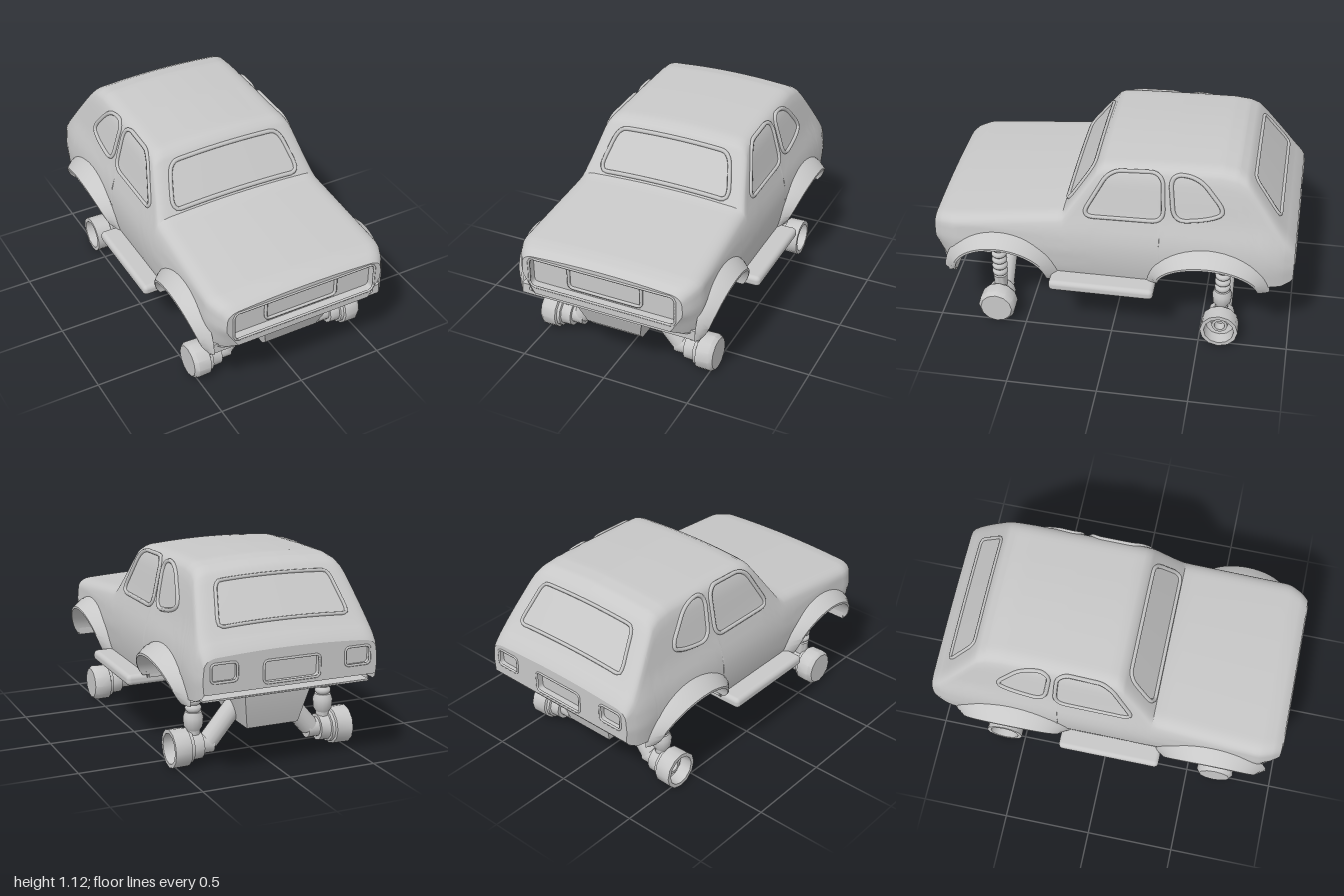
import * as THREE from 'three';
import { toCreasedNormals } from 'three/addons/utils/BufferGeometryUtils.js';
import { RoundedBoxGeometry } from 'three/addons/geometries/RoundedBoxGeometry.js';

const grey = new THREE.MeshStandardMaterial({ color: 0xc8c8c8, side: THREE.DoubleSide });
grey.name = 'plain grey';

const lerpTable = (table, v) => {
  if (v <= table[0][0]) return table[0][1];
  for (let i = 1; i < table.length; i++) {
    const [a, fa] = table[i - 1], [b, fb] = table[i];
    if (v <= b) return fa + (fb - fa) * (v - a) / (b - a);
  }
  return table[table.length - 1][1];
};

// Body rules: roof line, half width by height, lower edge with wheel arches
const ROOF = [[-1, .715], [-.985, .74], [-.94, .79], [-.75, 1.05], [-.72, 1.085], [-.67, 1.112], [-.58, 1.125],
  [-.3, 1.118], [0, 1.103], [.05, 1.098], [.085, 1.08], [.27, .812], [.3, .803], [.9, .735], [.97, .715], [1, .69]];
const WIDTH = [[.36, .50], [.45, .525], [.58, .537], [.68, .527], [.76, .503], [.8, .487], [1, .44], [1.08, .415], [1.13, .39]];
const BOTTOM = [[-1, .51], [-.985, .49], [-.94, .465], [-.81, .45], [-.27, .40], [.36, .40], [.88, .40], [.95, .41], [1, .44]];
const ARCHES = [
  { name: 'front', z: .62, y: .375, rx: .26, ry: .215, lip: .615 },
  { name: 'rear', z: -.54, y: .42, rx: .275, ry: .18, lip: .622 },
];
const top = z => lerpTable(ROOF, z);
function bottom(z) {
  let y = lerpTable(BOTTOM, z);
  for (const a of ARCHES) {
    const d = (z - a.z) / a.rx;
    if (Math.abs(d) < 1) y = Math.max(y, a.y + a.ry * Math.sqrt(1 - d * d));
  }
  return y;
}
function halfWidth(y, z) {
  const f = Math.max(0, (z - .85) / .15), r = Math.max(0, (-z - .85) / .15);
  const chin = .15 * f * f * Math.max(0, (.55 - y) / .13);
  return lerpTable(WIDTH, y) * (1 - .12 * f * f - .07 * r * r) * (1 - chin);
}
// Rounded shoulder between the side and the top
function shoulder(z) {
  const h = top(z), ys = h - .06, cy = h - .014;
  return { h, ys, cy, x0: halfWidth(ys, z), x1: halfWidth(cy, z) - .005, x2: halfWidth(h, z) - .08 };
}
const bend = (s, t) => [(1 - t) ** 2 * s.x0 + 2 * t * (1 - t) * s.x1 + t * t * s.x2, s.ys + (s.cy - s.ys) * (2 * t - t * t)];
function sideX(y, z) {
  const s = shoulder(z);
  if (y <= s.ys) return halfWidth(y, z);
  return bend(s, 1 - Math.sqrt(Math.max(0, 1 - (y - s.ys) / (s.cy - s.ys))))[0];
}
const topY = (x, z) => {
  const s = shoulder(z);
  return s.h - .014 * Math.min(1, Math.abs(x) / s.x2) ** 2;
};
function section(z) {
  const s = shoulder(z), yb = bottom(z), half = [];
  for (let i = 0; i < 10; i++) {
    const y = yb + (s.ys - yb) * i / 10;
    half.push([halfWidth(y, z), y]);
  }
  for (let i = 0; i <= 6; i++) half.push(bend(s, i / 6));
  for (const f of [.75, .5, .25]) half.push([s.x2 * f, s.h - .014 * f * f]);
  return [...half, [0, s.h], ...half.slice().reverse().map(([x, y]) => [-x, y])];
}

// Skin over rows of points
function skin(rows, { closed = false, caps = false, crease = .6 } = {}) {
  const n = rows[0].length, idx = [], m = closed ? n : n - 1;
  for (let i = 0; i < rows.length - 1; i++) for (let j = 0; j < m; j++) {
    const a = i * n + j, b = i * n + (j + 1) % n;
    idx.push(a, a + n, b, b, a + n, b + n);
  }
  if (caps) for (let j = 1; j < n - 1; j++) {
    const e = (rows.length - 1) * n;
    idx.push(0, j, j + 1, e, e + j + 1, e + j);
  }
  const g = new THREE.BufferGeometry();
  g.setAttribute('position', new THREE.Float32BufferAttribute(rows.flat(2), 3));
  g.setIndex(idx);
  return toCreasedNormals(g, crease);
}
function add(parent, name, geometry, x = 0, y = 0, z = 0) {
  const mesh = new THREE.Mesh(geometry, grey);
  mesh.name = name;
  mesh.position.set(x, y, z);
  parent.add(mesh);
  return mesh;
}
// Closed outline with rounded corners
function rounded(pts, r, T = THREE.Path) {
  const v = pts.map(p => new THREE.Vector2(...p)), path = new T(), n = v.length;
  v.forEach((p, i) => {
    const toward = q => p.clone().add(q.clone().sub(p).setLength(Math.min(r, q.distanceTo(p) * .45)));
    const a = toward(v[(i + n - 1) % n]), b = toward(v[(i + 1) % n]);
    if (i) path.lineTo(a.x, a.y); else path.moveTo(a.x, a.y);
    path.quadraticCurveTo(p.x, p.y, b.x, b.y);
  });
  path.closePath();
  return path;
}
const rect = (x0, x1, y0, y1) => [[x0, y0], [x1, y0], [x1, y1], [x0, y1]];
function trim(parent, name, pts, r, place, radius = .01) {
  const p = rounded(pts, r).getSpacedPoints(64).slice(0, -1).map(q => new THREE.Vector3(...place(q.x, q.y)));
  add(parent, name, new THREE.TubeGeometry(new THREE.CatmullRomCurve3(p, true), 96, radius, 6, true));
}
// End panel with recessed pockets
function endPanel(parent, name, z, pockets) {
  const dir = Math.sign(z), shape = new THREE.Shape(section(z).map(p => new THREE.Vector2(...p)));
  for (const { box, depth } of pockets) {
    const hole = rounded(rect(...box), .025);
    shape.holes.push(hole);
    const ring = hole.getPoints(5);
    add(parent, name + 'PocketWall', skin([z, z - dir * depth].map(d => ring.map(p => [p.x, p.y, d]))));
    add(parent, name + 'PocketBack', new THREE.ShapeGeometry(rounded(rect(...box), .025, THREE.Shape)), 0, 0, z - dir * depth);
    trim(parent, name + 'PocketRim', rect(...box), .025, (x, y) => [x, y, z], .007);
  }
  add(parent, name, new THREE.ShapeGeometry(shape), 0, 0, z);
}

function buildBody(g) {
  const zs = new Set([...ROOF, ...BOTTOM].map(p => p[0]));
  for (let i = 0; i <= 40; i++) zs.add(+(-1 + i * .05).toFixed(3));
  for (const a of ARCHES) for (let i = 0; i <= 24; i++) zs.add(+(a.z + a.rx * Math.cos(i * Math.PI / 24)).toFixed(4));
  const rows = [...zs].sort((a, b) => b - a).map(z => section(z).map(([x, y]) => [x, y, z]));
  add(g, 'bodyShell', skin(rows));
  endPanel(g, 'nosePanel', 1, [{ box: [-.43, .43, .485, .662], depth: .05 }]);
  trim(g, 'plateFrame', rect(-.215, .215, .508, .638), .025, (x, y) => [x, y, .955], .009);
  endPanel(g, 'tailPanel', -1, [
    { box: [-.16, .16, .535, .655], depth: .04 },
    { box: [-.455, -.31, .57, .67], depth: .03 },
    { box: [.31, .455, .57, .67], depth: .03 },
  ]);
  // Window surrounds
  const onTop = (x, z) => [x, topY(x, z) + .003, z];
  trim(g, 'windscreenFrame', [[-.40, .258], [.40, .258], [.34, .11], [-.34, .11]], .05, onTop, .012);
  trim(g, 'rearWindowFrame', [[-.375, -.905], [.375, -.905], [.325, -.755], [-.325, -.755]], .03, onTop);
  // Underside plates
  add(g, 'floorPan', skin([[.92, .41], [-.26, .41], [-.96, .465]].map(([z, y]) => [[-.31, y, z], [.31, y, z]])));
  add(g, 'midFloor', new THREE.BoxGeometry(1.0, .02, .61), 0, .41, .045);
  add(g, 'tailFloor', new THREE.BoxGeometry(.96, .01, .15), 0, .462, -.88);
  add(g, 'frontValance', new THREE.BoxGeometry(1.06, .06, .045), 0, .393, .90);
  add(g, 'noseFloor', skin([[.9, .405, .5], [.95, .412, .47], [1, .44, .39]].map(([z, y, x]) => [[-x, y, z], [x, y, z]])));
}

function buildChassis(g) {
  // Rows of z, lower y, upper y, lower half width, upper half width
  const tub = rows => skin(rows.map(([z, y0, y1, w0, w1]) => [[-w0, y0, z], [w0, y0, z], [w1, y1, z], [-w1, y1, z]]),
    { closed: true, caps: true, crease: .3 });
  add(g, 'frontCradle', tub([[.91, .35, .41, .19, .2], [.87, .25, .41, .16, .205], [.82, .2, .41, .15, .21],
    [.6, .2, .41, .15, .21], [.4, .33, .41, .17, .2]]));
  add(g, 'rearCradle', tub([[-.34, .33, .43, .17, .2], [-.5, .22, .43, .15, .21], [-.78, .22, .45, .15, .21], [-.84, .42, .46, .19, .2]]));
  add(g, 'spine', new RoundedBoxGeometry(.19, .12, 1.08, 3, .03), 0, .29, .03);
}

const lathe = (pts, sides) => toCreasedNormals(new THREE.LatheGeometry(pts.map(p => new THREE.Vector2(...p)), sides), .7);

function rod(parent, name, a, b, r) {
  const p = new THREE.Vector3(...a), q = new THREE.Vector3(...b), d = q.clone().sub(p);
  const m = add(parent, name, new THREE.CylinderGeometry(r, r, d.length(), 14));
  m.position.copy(p).lerp(q, .5);
  m.quaternion.setFromUnitVectors(new THREE.Vector3(0, 1, 0), d.normalize());
}

function buildSide(g) {
  trim(g, 'frontSideWindowFrame', [[.165, .797], [.02, 1.062], [-.27, 1.075], [-.285, .805]], .07,
    (z, y) => [sideX(y, z) + .002, y, z], .012);
  trim(g, 'rearSideWindowFrame', [[-.31, 1.075], [-.47, 1.065], [-.62, .885], [-.53, .84], [-.34, .81]], .08,
    (z, y) => [sideX(y, z) + .002, y, z], .012);
  add(g, 'runningBoard', new RoundedBoxGeometry(.355, .062, .585, 3, .025), .4475, .388, .0425);

  for (const a of ARCHES) {
    const front = a.name === 'front', hubZ = front ? .665 : -.615;
    // Flared arch, its inner lining and the well wall
    const rows = [], wall = [];
    for (let i = 0; i <= 24; i++) {
      const t = i * Math.PI / 24, s = Math.sin(t), lip = .54 + (a.lip - .54) * s ** .7;
      const at = (x, o) => [x, a.y + (a.ry + o * 1.1) * s, a.z + (a.rx + o) * Math.cos(t)];
      rows.push([at(.515, .066), at(.515 + (lip - .515) * .45, .05), at(lip, .012), at(lip, 0), at(.3, 0)]);
      wall.push([at(.3, 0), [.3, a.y, a.z + a.rx * Math.cos(t)]]);
    }
    add(g, a.name + 'WheelArch', skin(rows, { crease: .7 }));
    add(g, a.name + 'WellWall', skin(wall));

    // Coil spring around a damper
    const coils = [[0, .58], [.044, .58], [.048, .555]];
    for (let y = .55; y > .29; y -= .042) coils.push([.032, y], [.043, y - .011], [.045, y - .021], [.043, y - .031]);
    coils.push([.032, .255], [.04, .25], [.036, .16], [0, .16]);
    add(g, a.name + 'Spring', lathe(coils.reverse(), 16), .39, 0, hubZ);
    if (!front) add(g, 'springSeat', lathe([[0, .16], [.02, .17], [.052, .22], [.056, .27], [.045, .3], [0, .3]], 14), .39, 0, hubZ);

    // Suspension arm
    rod(g, a.name + 'Arm', [.13, .33, hubZ], [.305, .12, hubZ], .055);
    rod(g, a.name + 'ArmEnd', [.285, .11, hubZ], [.37, .11, hubZ], .055);

    // Hub: closed drum in front, open ring behind
    const hub = front
      ? [[0, .352], [.075, .352], [.078, .41], [.09, .413], [.092, .43], [.105, .435], [.107, .51], [.09, .532], [0, .532]]
      : [[0, .352], [.075, .352], [.078, .41], [.09, .413], [.092, .43], [.105, .435], [.107, .53], [.085, .53], [.08, .46],
        [.05, .45], [.045, .48], [.03, .48], [.028, .43], [0, .43]];
    const m = add(g, a.name + 'Hub', lathe(hub, 12), 0, .107, hubZ);
    m.rotation.z = -Math.PI / 2;
  }
}

export function createModel() {
  const model = new THREE.Group();
  model.name = 'hatchbackCar';
  const body = new THREE.Group(), chassis = new THREE.Group();
  body.name = 'body';
  chassis.name = 'chassis';
  buildBody(body);
  buildChassis(chassis);
  model.add(body, chassis);
  for (const s of [1, -1]) {
    const side = new THREE.Group();
    side.name = s > 0 ? 'leftSide' : 'rightSide';
    buildSide(side);
    side.scale.x = s;
    model.add(side);
  }
  return model;
}
